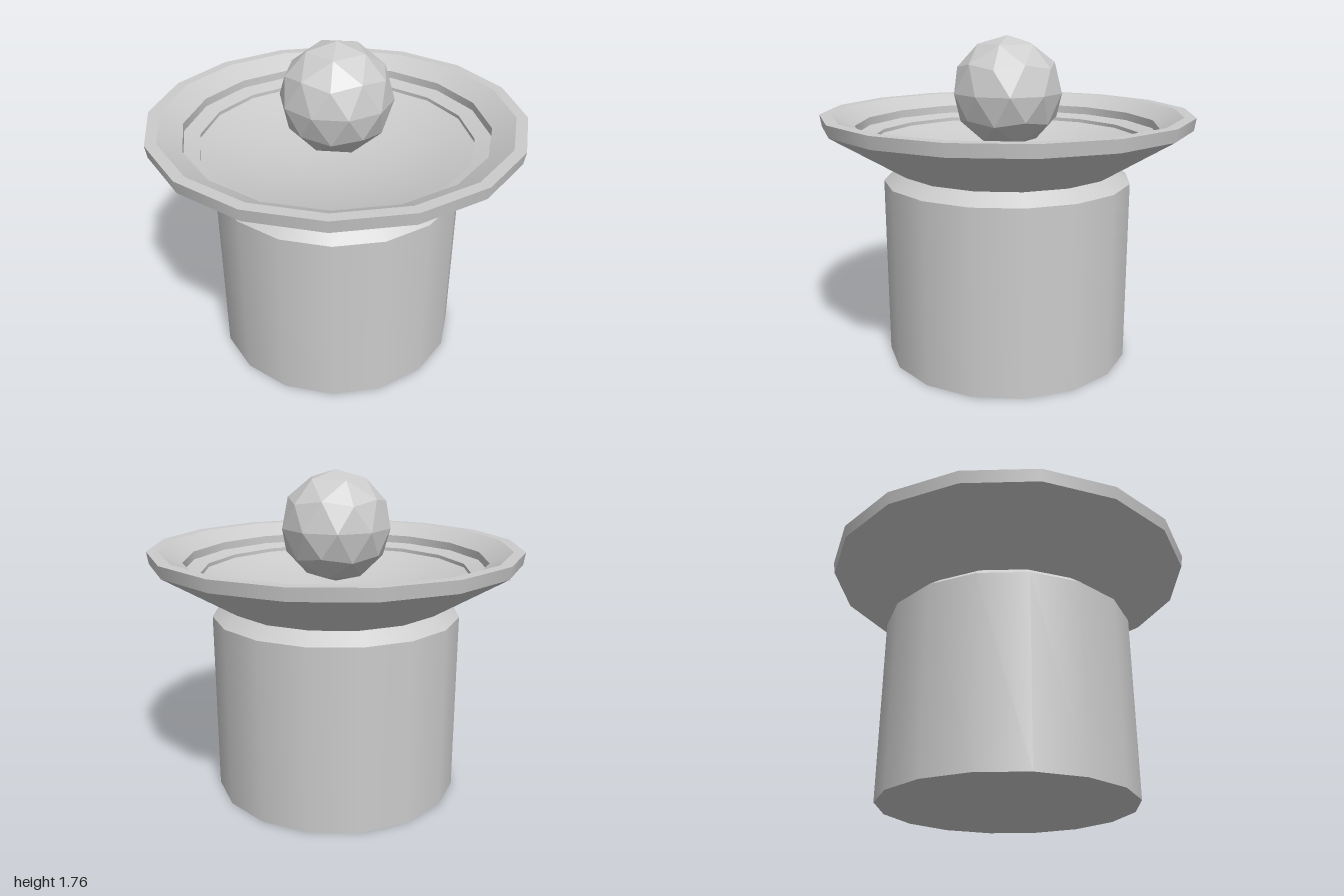
import * as THREE from 'three';

const SIDES = 16;
const material = new THREE.MeshStandardMaterial({ color: 0xcccccc });
const ballMaterial = new THREE.MeshStandardMaterial({ color: 0xcccccc, flatShading: true });

// Smooth ring swept from one stretch of profile; separate stretches meet in sharp edges
function ring(name, points) {
  const profile = points.map(([r, y]) => new THREE.Vector2(r, y));
  const mesh = new THREE.Mesh(new THREE.LatheGeometry(profile, SIDES), material);
  mesh.name = name;
  return mesh;
}

export function createModel() {
  const model = new THREE.Group();
  model.name = 'ballInBowlOnPedestal';

  // Pedestal: flat bottom, round wall, bevelled top
  const pedestal = new THREE.Group();
  pedestal.name = 'pedestal';
  pedestal.add(
    ring('pedestalBottom', [[0, 0], [0.676, 0]]),
    ring('pedestalWall', [[0.676, 0], [0.676, 0.99]]),
    ring('pedestalBevel', [[0.676, 0.99], [0.6, 1.05]])
  );

  // Bowl: flared underside, rim, stepped inner slope
  const bowl = new THREE.Group();
  bowl.name = 'bowl';
  bowl.add(
    ring('bowlUnderside', [[0.6, 1.05], [0.99, 1.29]]),
    ring('rimSide', [[0.99, 1.29], [1, 1.355]]),
    ring('rimTop', [[1, 1.355], [0.94, 1.355]]),
    ring('innerSlope', [[0.94, 1.355], [0.82, 1.29]]),
    ring('innerStep', [[0.82, 1.29], [0.82, 1.245]]),
    ring('innerShelf', [[0.82, 1.245], [0.735, 1.225]]),
    ring('floorStep', [[0.735, 1.225], [0.735, 1.205]])
  );

  // Shallow dished floor
  const floor = [];
  for (let i = 0; i <= 6; i++) {
    const r = 0.735 * (1 - i / 6);
    floor.push([r, 1.08 + 0.125 * (r / 0.735) ** 2]);
  }
  bowl.add(ring('bowlFloor', floor));

  // Faceted ball, turned so that one corner points straight up
  const ballGeometry = new THREE.IcosahedronGeometry(0.3, 1);
  ballGeometry.rotateZ(-Math.atan(2 / (1 + Math.sqrt(5))));
  const ball = new THREE.Mesh(ballGeometry, ballMaterial);
  ball.name = 'ball';
  ball.position.y = 1.46;

  model.add(pedestal, bowl, ball);
  return model;
}
